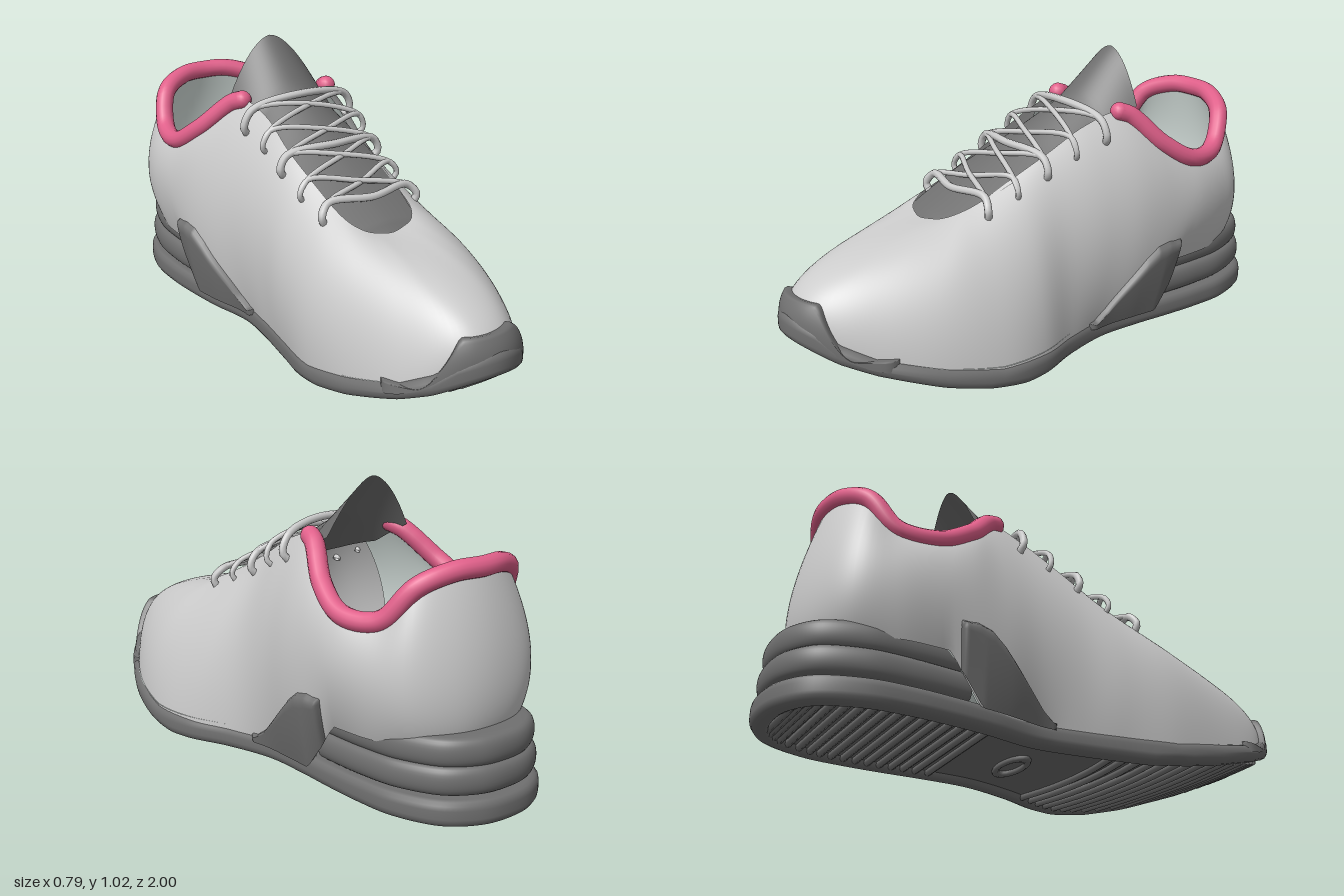
import * as THREE from 'three';
import { mergeVertices } from 'three/addons/utils/BufferGeometryUtils.js';

const V = (x, y, z) => new THREE.Vector3(x, y, z);
const N = 28; // stations around the shoe: toe, left side, heel, right side
const { lerp, smoothstep } = THREE.MathUtils;

// Sole outline (x, z)
const SOLE = [-.03, 1, .1, .95, .22, .82, .33, .62, .385, .4, .37, .22, .3, .05, .25, -.13, .245, -.3, .25, -.45,
  .25, -.6, .235, -.75, .17, -.9, .06, -.98, -.06, -1, -.18, -.98, -.29, -.9, -.35, -.75, -.36, -.6, -.35, -.45,
  -.33, -.3, -.295, -.13, -.305, .03, -.33, .2, -.358, .4, -.335, .62, -.27, .82, -.16, .95];
// Half-way line of the upper (x, y, z)
const MID = [-.04, .41, .85, .07, .4, .82, .17, .385, .7, .255, .37, .53, .285, .37, .37, .28, .4, .2, .25, .43, .04,
  .265, .47, -.13, .29, .49, -.28, .3, .46, -.42, .3, .45, -.56, .27, .45, -.69, .215, .46, -.805, .09, .46, -.88,
  -.06, .46, -.905, -.22, .46, -.88, -.33, .46, -.81, -.375, .45, -.69, -.388, .45, -.56, -.38, .46, -.42,
  -.35, .47, -.28, -.32, .46, -.13, -.31, .43, .04, -.325, .39, .2, -.325, .37, .38, -.285, .37, .54,
  -.215, .385, .7, -.13, .4, .83];
// Edge of the throat and ankle opening (x, y, z)
const RIM = [-.05, .515, .46, 0, .52, .45, .05, .53, .43, .085, .55, .38, .1, .58, .3, .105, .64, .17, .12, .71, .03,
  .14, .79, -.12, .165, .82, -.27, .23, .7, -.4, .255, .625, -.53, .215, .63, -.67, .155, .74, -.755, .05, .785, -.805,
  -.06, .79, -.825, -.17, .785, -.805, -.27, .74, -.75, -.315, .63, -.67, -.335, .62, -.53, -.3, .7, -.4,
  -.21, .82, -.27, -.185, .79, -.12, -.19, .71, .03, -.185, .64, .17, -.18, .58, .3, -.17, .55, .38,
  -.14, .53, .43, -.1, .52, .45];

// Height tables, [z, y] from front to back
const BOTTOM = [[1, .21], [.9, .15], [.8, .11], [.6, .05], [.45, .018], [.3, 0]];
const TOP = [[1, .3], [.95, .27], [.9, .22], [.8, .17], [.6, .12], [.4, .085], [-.1, .08], [-1, .09]];
const BASE = [[1, .27], [.95, .24], [.9, .19], [.8, .14], [.6, .09], [.4, .06], [-.36, .06], [-.48, .23], [-1, .24]];
const WING = [[0, .08], [-.09, .085], [-.14, .12], [-.3, .29], [-.35, .33], [-.4, .34], [-.43, .335]];
const TONGUE = [[.45, .52], [.35, .57], [.2, .65], [0, .755], [-.2, .87], [-.36, 1.02]];
function at(table, z) {
  if (z >= table[0][0]) return table[0][1];
  for (let i = 1; i < table.length; i++) {
    const [za, ya] = table[i - 1], [zb, yb] = table[i];
    if (z >= zb) return lerp(ya, yb, (z - za) / (zb - za));
  }
  return table[table.length - 1][1];
}

const closed = pts => new THREE.CatmullRomCurve3(pts, true, 'catmullrom', .5);
const triples = a => Array.from({ length: N }, (_, i) => V(...a.slice(3 * i, 3 * i + 3)));
const outline = closed(Array.from({ length: N }, (_, i) => V(SOLE[2 * i], 0, SOLE[2 * i + 1])));
const mid = closed(triples(MID)), rim = closed(triples(RIM));

// Point on the sole outline, moved inwards
function edge(s, inset, y = 0) {
  const p = outline.getPoint(s);
  const t = outline.getPoint(s + .002).sub(outline.getPoint(s - .002)).normalize();
  return V(p.x + t.z * inset, y, p.z - t.x * inset);
}
function baseEdge(s, lift = 0) {
  const p = outline.getPoint(s);
  p.x *= .97;
  p.z *= p.z > 0 ? .97 : .88;
  p.y = at(BASE, p.z) + lift;
  return p;
}
// Upper surface: each station bends from the sole, through the half-way line, to the rim
function upper(s, t, offset = 0) {
  const a = baseEdge(s), c = rim.getPoint(s);
  const b = mid.getPoint(s).multiplyScalar(2).addScaledVector(a, -.5).addScaledVector(c, -.5);
  const p = a.multiplyScalar((1 - t) ** 2).addScaledVector(b, 2 * t * (1 - t)).addScaledVector(c, t * t);
  if (offset) {
    const ds = upper(s + .003, t).sub(upper(s - .003, t));
    const dt = upper(s, t + .01).sub(upper(s, t - .01));
    p.addScaledVector(ds.cross(dt).normalize(), offset);
  }
  return p;
}

// Surface through a grid of points fn(u, v)
function grid(nu, nv, fn) {
  const pos = [], idx = [];
  for (let i = 0; i <= nu; i++) for (let j = 0; j <= nv; j++) pos.push(...fn(i / nu, j / nv).toArray());
  for (let i = 0; i < nu; i++) for (let j = 0; j < nv; j++) {
    const a = i * (nv + 1) + j, b = a + nv + 1;
    idx.push(a, b, b + 1, a, b + 1, a + 1);
  }
  let g = new THREE.BufferGeometry();
  g.setAttribute('position', new THREE.Float32BufferAttribute(pos, 3));
  g.setIndex(idx);
  g = mergeVertices(g, 1e-5);
  g.computeVertexNormals();
  return g;
}
// Surface stretched between the two sides of a loop
const deck = (loop, down) => grid(60, 10, (u, v) => loop(u / 2).lerp(loop(1 - u / 2), down ? 1 - v : v));
// Raised panel on the upper, from the sole up to a given height
function panel(s0, s1, height) {
  return grid(60, 14, (u, v) => {
    const s = lerp(s0, s1, u) / N;
    const top = height(s * N, upper(s, .3).z);
    let lo = 0, hi = .9;
    for (let k = 0; k < 14; k++) {
      const m = (lo + hi) / 2;
      if (upper(s, m).y < top) lo = m; else hi = m;
    }
    const rise = Math.min(1, 8 * (1 - v), 25 * u, 25 * (1 - u));
    return upper(s, lo * v, -.008 + .03 * Math.sqrt(rise));
  });
}

export function createModel() {
  const shoe = new THREE.Group();
  const paint = color => new THREE.MeshStandardMaterial({ color, side: THREE.DoubleSide });
  const light = paint(0xcccccc), dark = paint(0x707070), pink = paint(0xe0608a), pale = paint(0xdfeae6);
  const add = (name, geometry, material) => {
    const mesh = new THREE.Mesh(geometry, material);
    mesh.name = name;
    shoe.add(mesh);
    return mesh;
  };
  const tube = (pts, r, segs, sides) => new THREE.TubeGeometry(new THREE.CatmullRomCurve3(pts), segs, r, sides);

  // Upper, lining and footbed
  add('upper', grid(168, 28, (u, v) => upper(u, v)), light);
  add('lining', grid(84, 16, (u, v) => upper(lerp(7, 21, u) / N, v * .98, -.02)), pale);
  add('footbed', deck(s => baseEdge(s, .03)), pale);

  // Padded collar with rounded ends
  const collar = Array.from({ length: 49 }, (_, i) => rim.getPoint(lerp(7.9, 20.1, i / 48) / N));
  add('collar', tube(collar, .034, 120, 14), pink);
  for (const p of [collar[0], collar[48]]) add('collarEnd', new THREE.SphereGeometry(.034, 14, 10), pink).position.copy(p);

  // Arched tongue, tallest along its middle
  add('tongue', grid(40, 24, (u, v) => {
    const z = lerp(.47, -.36, u), k = v * 2 - 1;
    const y = at(TONGUE, z) - (u < .03 ? .02 : 0) - lerp(.02, .19, u ** 2.2) * Math.abs(k) ** 1.7;
    return V(lerp(-.045, -.022, u) + k * lerp(.115, .18, Math.sqrt(u)), y, z + .02 * u * k * k);
  }), dark);

  // Outsole: rounded wall, then the recessed underside
  const wall = [[.065, 0, .02], [.06, 0, .005], [.05, 0, 0], [.025, 0, 0], [.01, 0, .006], [.002, 0, .018], [0, 0, .03],
    [0, 1, -.03], [.003, 1, -.015], [.012, 1, -.004], [.025, 1, 0], [.14, 1, 0]];
  add('outsole', grid(224, wall.length - 1, (u, v) => {
    const [inset, top, dy] = wall[Math.round(v * (wall.length - 1))];
    const z = outline.getPoint(u).z;
    return edge(u, inset, at(top ? TOP : BOTTOM, z) + dy);
  }), dark);
  const under = (s, inset, lift) => {
    const p = edge(s, inset);
    p.y = at(BOTTOM, outline.getPoint(s).z) + lift;
    return p;
  };
  add('underside', deck(s => under(s, .06, .02), true), dark);

  // Tread bars: slanted under the forefoot, straight under the heel
  const bar = (sa, sb, bow) => {
    const a = under(sa / N, .055, .014), b = under(sb / N, .055, .014);
    const pts = [0, .25, .5, .75, 1].map(k => {
      const p = a.clone().lerp(b, k);
      p.z += bow * 4 * k * (1 - k);
      p.y = Math.min(p.y, at(BOTTOM, p.z) + .014);
      return p;
    });
    add('treadBar', tube(pts, .013, 10, 6), dark);
  };
  for (let i = 0; i < 17; i++) bar(1.4 + i * .27, N - .9 - i * .27, .03);
  for (let i = 0; i < 17; i++) bar(8 + i * .3, N - 8 - i * .3, 0);
  const shank = add('shankRing', new THREE.TorusGeometry(.05, .012, 8, 24), dark);
  shank.rotation.x = Math.PI / 2;
  shank.scale.set(1.8, .8, 1);
  shank.position.set(-.02, .014, -.08);

  // Toe bumper and the two side wings
  add('toeBumper', panel(-2.4, 2.4, s => lerp(.345, .17, smoothstep(Math.abs(s), .75, 1.7))), dark);
  add('leftWing', panel(6.6, 9.35, (s, z) => at(WING, z)), dark);
  add('rightWing', panel(N - 9.35, N - 6.6, (s, z) => at(WING, z)), dark);

  // Two cushion rolls under the heel
  for (const [name, y, h, inset] of [['lowerCushion', .135, .05, .012], ['upperCushion', .225, .05, .022]]) {
    add(name, grid(100, 16, (u, v) => {
      const s = lerp(8.6, N - 8.6, u) / N;
      const back = smoothstep(-outline.getPoint(s).z, .4, 1) * .012;
      if (v === 1) return edge(s, .15, y + h + back);
      const a = (v * 16 / 15 - .5) * Math.PI;
      return edge(s, inset + .05 * (1 - Math.sqrt(Math.cos(a) + 1e-9)), y + back + h * Math.sin(a));
    }), dark);
  }

  // Laces: straight bars and crossings between five pairs of eyelets
  const rows = [7.3, 6.55, 5.8, 4.95, 4.1];
  const lace = (sa, sb, r, lift, shift) => {
    const end = s => [upper(s / N, .87, -.01), upper(s / N, .89, .022), upper(s / N, .98, .03)];
    const a = end(sa), b = end(sb).reverse();
    const m = a[2].clone().lerp(b[0], .5);
    m.z += shift;
    m.y = at(TONGUE, m.z) + lift;
    add('lace', tube([...a, m, ...b], r, 40, 8), light);
  };
  rows.forEach((s, i) => {
    if (i % 2 === 0) lace(s, N - s, .014, .022, .03);
    if (i < 4) {
      lace(s, N - rows[i + 1], .01, .01, .01);
      lace(rows[i + 1], N - s, .01, .016, .01);
    }
  });
  return shoe;
}
